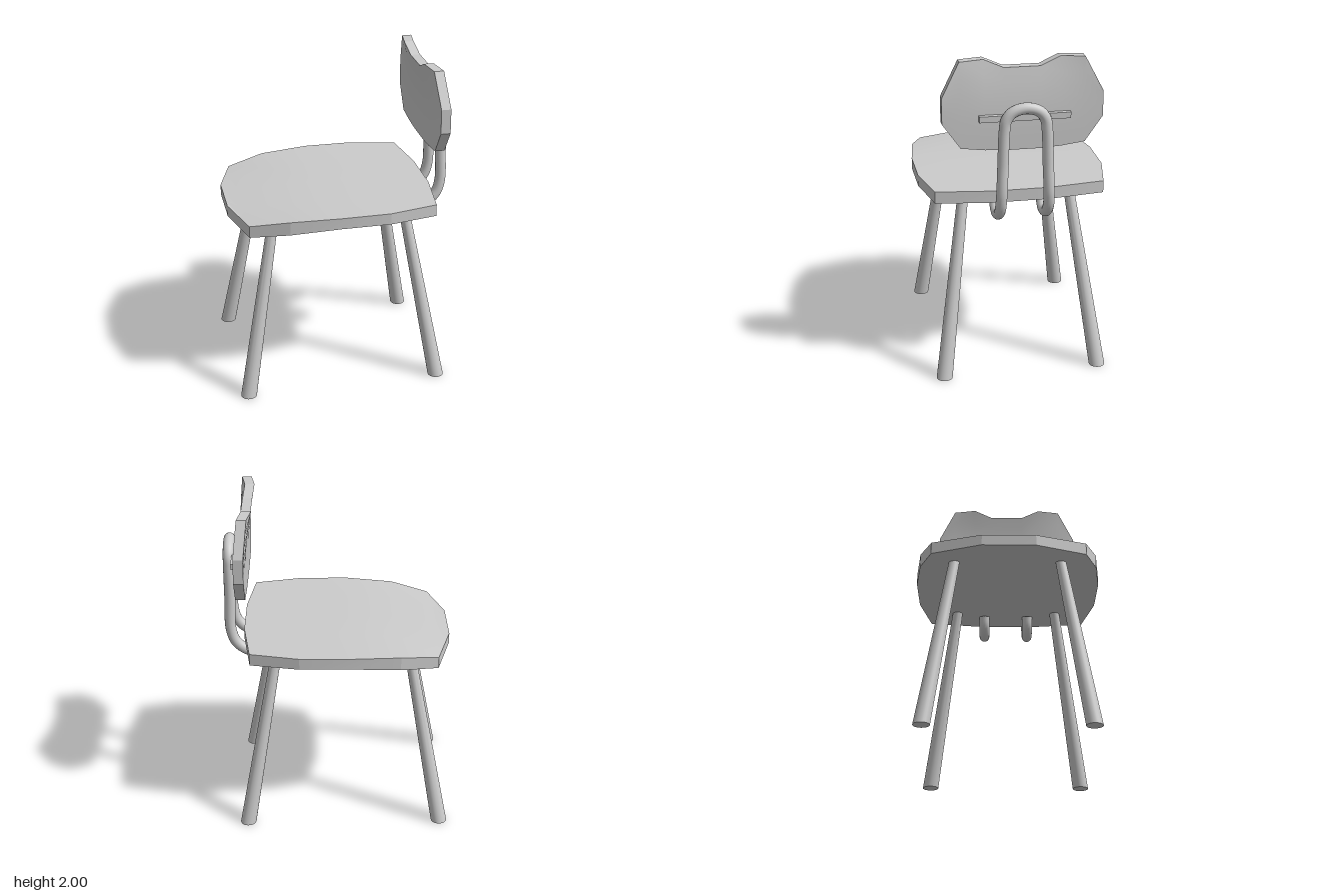
import * as THREE from 'three';
import { toCreasedNormals } from 'three/addons/utils/BufferGeometryUtils.js';

const material = new THREE.MeshStandardMaterial({ color: 0xcccccc });

function addMesh(parent, name, geometry) {
  const mesh = new THREE.Mesh(geometry, material);
  mesh.name = name;
  parent.add(mesh);
  return mesh;
}

// Closed slab: two grids of points joined by a rim. point(column, v, side) gives
// [x, y, z] for v in 0..1; side 0 is the face whose outward normal is v cross u.
function slab(columns, rows, point) {
  const positions = [], index = [];
  const nu = columns.length, nv = rows + 1, n = nu * nv;
  for (let side = 0; side < 2; side++)
    for (const column of columns)
      for (let j = 0; j < nv; j++) positions.push(...point(column, j / rows, side));
  const id = (i, j) => i * nv + j;
  for (let i = 0; i < nu - 1; i++)
    for (let j = 0; j < rows; j++) {
      const a = id(i, j), b = id(i, j + 1), c = id(i + 1, j + 1), d = id(i + 1, j);
      index.push(a, b, c, a, c, d, a + n, c + n, b + n, a + n, d + n, c + n);
    }
  const rim = (p, q) => index.push(q, p, p + n, q, p + n, q + n);
  for (let j = 0; j < rows; j++) {
    rim(id(0, j), id(0, j + 1));
    rim(id(nu - 1, j + 1), id(nu - 1, j));
  }
  for (let i = 0; i < nu - 1; i++) {
    rim(id(i, rows), id(i + 1, rows));
    rim(id(i + 1, 0), id(i, 0));
  }
  const geometry = new THREE.BufferGeometry();
  geometry.setAttribute('position', new THREE.Float32BufferAttribute(positions, 3));
  geometry.setIndex(index);
  return toCreasedNormals(geometry, 0.2);
}

// Seat stations from front to back: x, half width, top y, bottom y, droop at the sides
function seatGeometry() {
  const stations = [
    [-0.69, 0.16, 1.163, 1.097, 0],
    [-0.6, 0.46, 1.172, 1.1, 0.016],
    [-0.37, 0.537, 1.2, 1.118, 0.005],
    [-0.07, 0.573, 1.208, 1.14, 0],
    [0.23, 0.57, 1.209, 1.14, 0],
    [0.525, 0.505, 1.209, 1.136, 0],
    [0.57, 0.17, 1.209, 1.136, 0],
  ];
  return slab(stations, 4, ([x, half, top, bottom, droop], v, side) => {
    const s = v * 2 - 1;
    return [x, (side ? bottom : top) - droop * s * s, s * half];
  });
}

// Backrest stations across z: z, bottom y, top y; the upper part leans forward
function backrestGeometry() {
  const half = [[0.467, 1.645, 1.795], [0.362, 1.495, 1.997], [0.222, 1.477, 2], [0.106, 1.47, 1.95]];
  const stations = [...half.map(([z, b, t]) => [-z, b, t]), ...half.reverse()];
  return slab(stations, 6, ([z, bottom, top], v, side) => {
    const y = bottom + (top - bottom) * v;
    const lean = Math.max(0, (y - 1.6) / 0.4) ** 2 * (1 - 3.6 * Math.max(0, Math.abs(z) - 0.222));
    return [(side ? 0.545 : 0.604) - 0.045 * lean, y, z];
  });
}

// Tapered leg sheared towards the seat so that its foot stays flat on the ground
function legGeometry(foot, head, height) {
  const geometry = new THREE.CylinderGeometry(0.032, 0.049, height, 24);
  geometry.translate(0, height / 2, 0);
  const p = geometry.attributes.position;
  for (let i = 0; i < p.count; i++) {
    const t = p.getY(i) / height;
    p.setX(i, p.getX(i) + foot[0] + (head[0] - foot[0]) * t);
    p.setZ(i, p.getZ(i) + foot[1] + (head[1] - foot[1]) * t);
  }
  return toCreasedNormals(geometry, 0.6);
}

// Bent tube: hooks under the seat, rises behind it and arches over
function supportGeometry() {
  const side = [
    [0.415, 1.14, 0.142], [0.435, 1.075, 0.142], [0.49, 1.043, 0.142], [0.56, 1.058, 0.142],
    [0.625, 1.115, 0.142], [0.653, 1.2, 0.14], [0.653, 1.4, 0.132], [0.653, 1.6, 0.124],
    [0.653, 1.665, 0.113], [0.653, 1.71, 0.075],
  ].map((c) => new THREE.Vector3(...c));
  const mirrored = side.map((c) => new THREE.Vector3(c.x, c.y, -c.z)).reverse();
  const path = new THREE.CatmullRomCurve3([...side, new THREE.Vector3(0.653, 1.73, 0), ...mirrored]);
  return new THREE.TubeGeometry(path, 140, 0.033, 16);
}

export function createModel() {
  const chair = new THREE.Group();
  chair.name = 'chair';

  addMesh(chair, 'seat', seatGeometry());
  addMesh(chair, 'backrest', backrestGeometry());

  // Legs, splayed outwards
  for (const s of [-1, 1]) {
    const side = s > 0 ? 'Left' : 'Right';
    addMesh(chair, 'front' + side + 'Leg', legGeometry([-0.638, 0.48 * s], [-0.432, 0.318 * s], 1.145)).position.z = -0.005;
    addMesh(chair, 'back' + side + 'Leg', legGeometry([0.568, 0.48 * s], [0.365, 0.318 * s], 1.16)).position.z = -0.005;
  }

  // Support tube and the bar fixing it to the backrest
  addMesh(chair, 'backSupport', supportGeometry()).position.z = -0.006;
  addMesh(chair, 'mountingBar', new THREE.BoxGeometry(0.035, 0.036, 0.53)).position.set(0.614, 1.668, -0.008);

  return chair;
}
